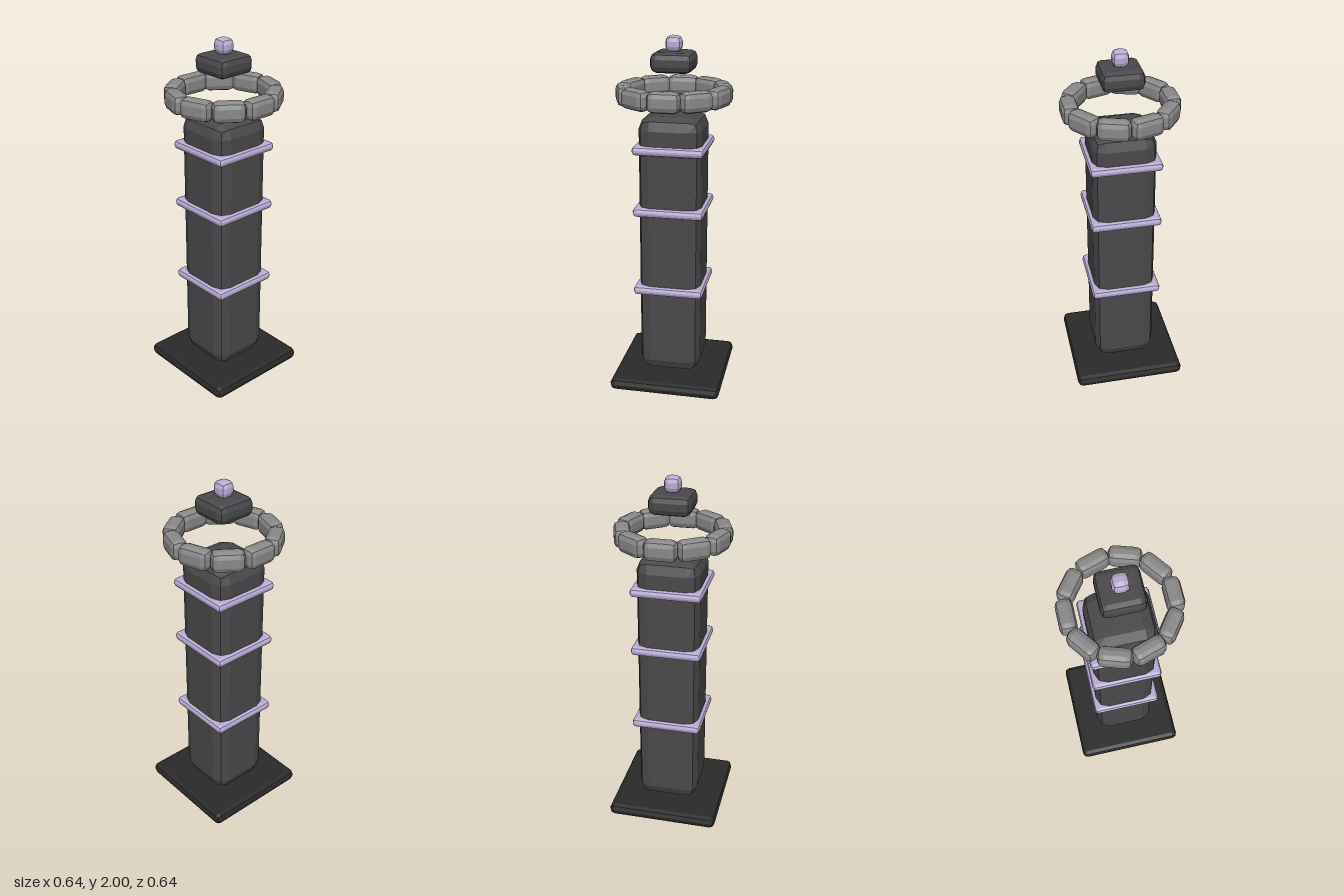
import * as THREE from 'three';
import { RoundedBoxGeometry } from 'three/addons/geometries/RoundedBoxGeometry.js';

function material(name, color) {
  const m = new THREE.MeshStandardMaterial({ color });
  m.name = name;
  return m;
}

// Faceted box with edges bevelled in two steps
function block(name, mat, w, h, d, radius, y) {
  const geo = new RoundedBoxGeometry(w, h, d, 1, radius);
  geo.computeVertexNormals();
  const mesh = new THREE.Mesh(geo, mat);
  mesh.name = name;
  mesh.position.y = y;
  return mesh;
}

export function createModel() {
  const model = new THREE.Group();
  model.name = 'obelisk';
  const black = material('black stone', 0x2a2a2b);
  const dark = material('dark grey stone', 0x4a4a4c);
  const grey = material('light grey stone', 0x8a8a8a);
  const lilac = material('lilac', 0xbbaed6);

  // Base slab and square column
  model.add(block('base', black, 0.636, 0.068, 0.636, 0.03, 0.034));
  model.add(block('column', dark, 0.35, 1.505, 0.35, 0.07, 0.8275));

  // Bands around the column
  [0.587, 1.053, 1.402].forEach((y, i) => {
    model.add(block('band' + (i + 1), lilac, 0.394, 0.05, 0.394, 0.02, y));
  });

  // Floating ring of ten stones
  const ring = new THREE.Group();
  ring.name = 'floatingRing';
  for (let i = 0; i < 10; i++) {
    const a = (i / 10) * Math.PI * 2;
    const stone = block('ringStone' + (i + 1), grey, 0.09, 0.112, 0.175, 0.032, 1.69);
    stone.position.x = Math.cos(a) * 0.27;
    stone.position.z = Math.sin(a) * 0.27;
    stone.rotation.y = -a;
    ring.add(stone);
  }
  model.add(ring);

  // Floating cap and its knob
  model.add(block('cap', dark, 0.228, 0.108, 0.228, 0.035, 1.863));
  model.add(block('knob', lilac, 0.088, 0.088, 0.088, 0.03, 1.956));
  return model;
}
